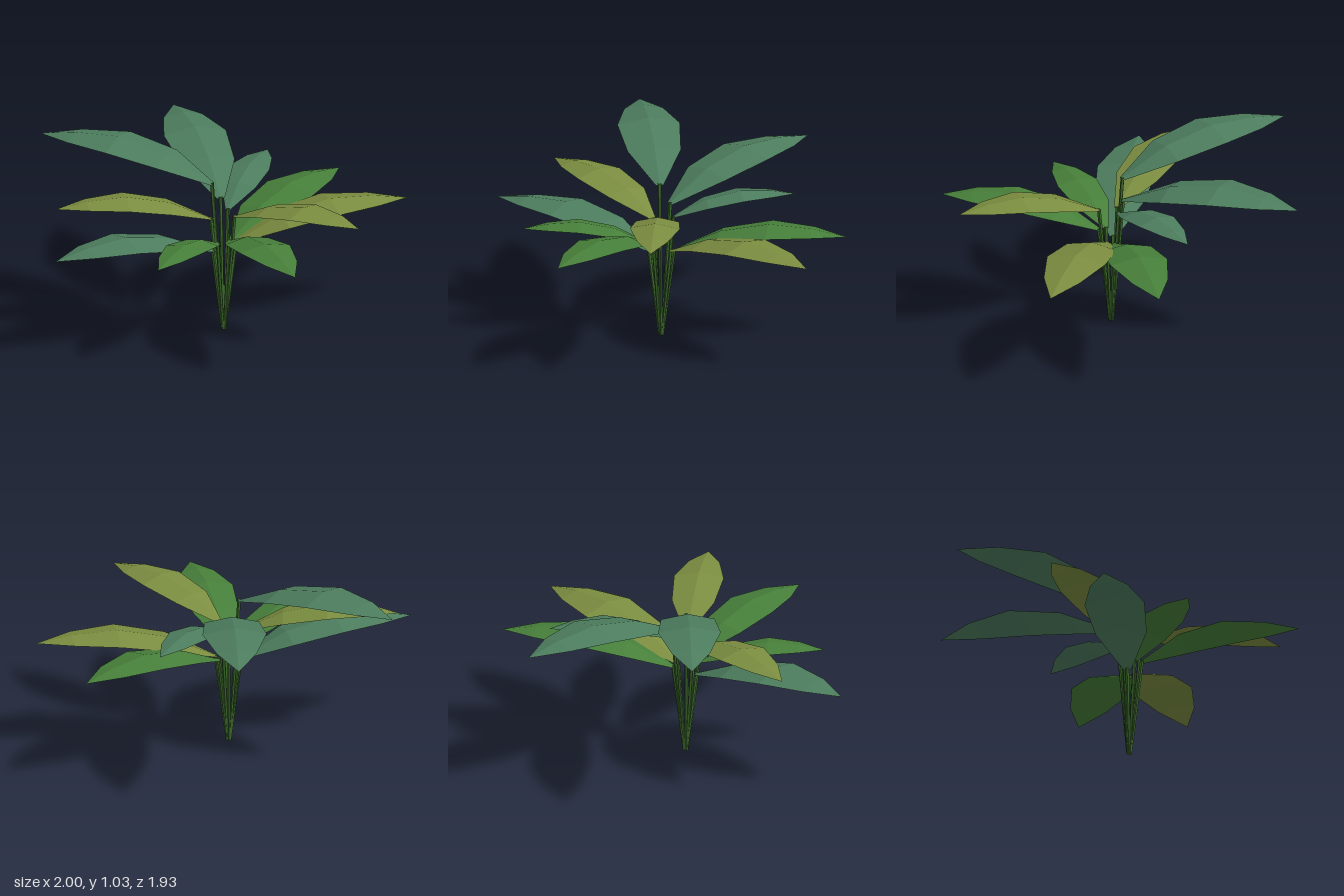
import * as THREE from 'three';

const TEAL = 0x4d7d5e, GREEN = 0x477f3a, OLIVE = 0x7b8d40, STEM = 0x3c6a2c;
const CENTER = { x: -0.032, z: 0.083 };
const STEM_SPREAD = 0.065; // how far the stem tops lean out from the middle

// Tip of each leaf: x, y, z, color
const LEAVES = [
  [-0.31, 0.975, -0.97, TEAL],
  [0.647, 0.878, -0.797, TEAL],
  [0.674, 0.765, -0.166, TEAL],
  [0.995, 0.617, 0.08, GREEN],
  [0.86, 0.63, 0.658, OLIVE],
  [0.043, 0.783, 0.963, OLIVE],
  [-0.476, 0.657, 0.925, GREEN],
  [-0.78, 0.617, 0.214, GREEN],
  [-1.0, 0.602, -0.326, TEAL],
  [-0.717, 0.764, -0.545, OLIVE],
];

// Leaf cross-sections per unit length: distance along, half width, ridge height
const SECTIONS = [
  [0, 0.02, 0],
  [0.27, 0.143, 0.127],
  [0.55, 0.167, 0.183],
  [0.8, 0.104, 0.167],
  [1, 0, 0.128],
];

// Arched blade along +z, folded down on both sides of a raised midrib
function leafGeometry(length) {
  const positions = [], index = [];
  for (const [t, w, h] of SECTIONS) {
    for (const side of [-1, 0, 1]) {
      positions.push(side * w * length, (h - Math.abs(side) * w * 0.21) * length, t * length);
    }
  }
  const last = SECTIONS.length - 2;
  for (let i = 0; i <= last; i++) {
    for (let j = 0; j < 2; j++) {
      const a = i * 3 + j, b = a + 1, c = a + 3, d = a + 4;
      index.push(a, c, b);
      if (i < last) index.push(b, c, d);
    }
  }
  const indexed = new THREE.BufferGeometry();
  indexed.setAttribute('position', new THREE.Float32BufferAttribute(positions, 3));
  indexed.setIndex(index);
  const geometry = indexed.toNonIndexed();
  geometry.computeVertexNormals();
  return geometry;
}

// Thin five-sided stem leaning out toward +z
function makeStem(height, material) {
  const foot = new THREE.Vector3(0, 0, 0.008);
  const top = new THREE.Vector3(0, height + 0.004, STEM_SPREAD + 0.006);
  const dir = top.clone().sub(foot);
  const stem = new THREE.Mesh(new THREE.CylinderGeometry(0.011, 0.008, dir.length(), 5), material);
  stem.position.copy(foot).add(top).multiplyScalar(0.5);
  stem.quaternion.setFromUnitVectors(new THREE.Vector3(0, 1, 0), dir.normalize());
  stem.name = 'stem';
  return stem;
}

export function createModel() {
  const plant = new THREE.Group();
  plant.name = 'leafyPlant';
  const stemMaterial = new THREE.MeshStandardMaterial({ color: STEM, flatShading: true });
  const leafMaterials = {};
  for (const color of [TEAL, GREEN, OLIVE]) {
    leafMaterials[color] = new THREE.MeshStandardMaterial({
      color, flatShading: true, side: THREE.DoubleSide,
    });
  }

  LEAVES.forEach(([x, y, z, color], i) => {
    const dx = x - CENTER.x, dz = z - CENTER.z;
    const length = Math.hypot(dx, dz) - STEM_SPREAD;
    const baseY = y - SECTIONS[SECTIONS.length - 1][2] * length;

    const frond = new THREE.Group();
    frond.name = `frond${i + 1}`;
    frond.position.set(CENTER.x, 0, CENTER.z);
    frond.rotation.y = Math.atan2(dx, dz);

    const leaf = new THREE.Mesh(leafGeometry(length), leafMaterials[color]);
    leaf.name = 'leaf';
    leaf.position.set(0, baseY, STEM_SPREAD);
    frond.add(leaf, makeStem(baseY, stemMaterial));
    plant.add(frond);
  });
  return plant;
}
